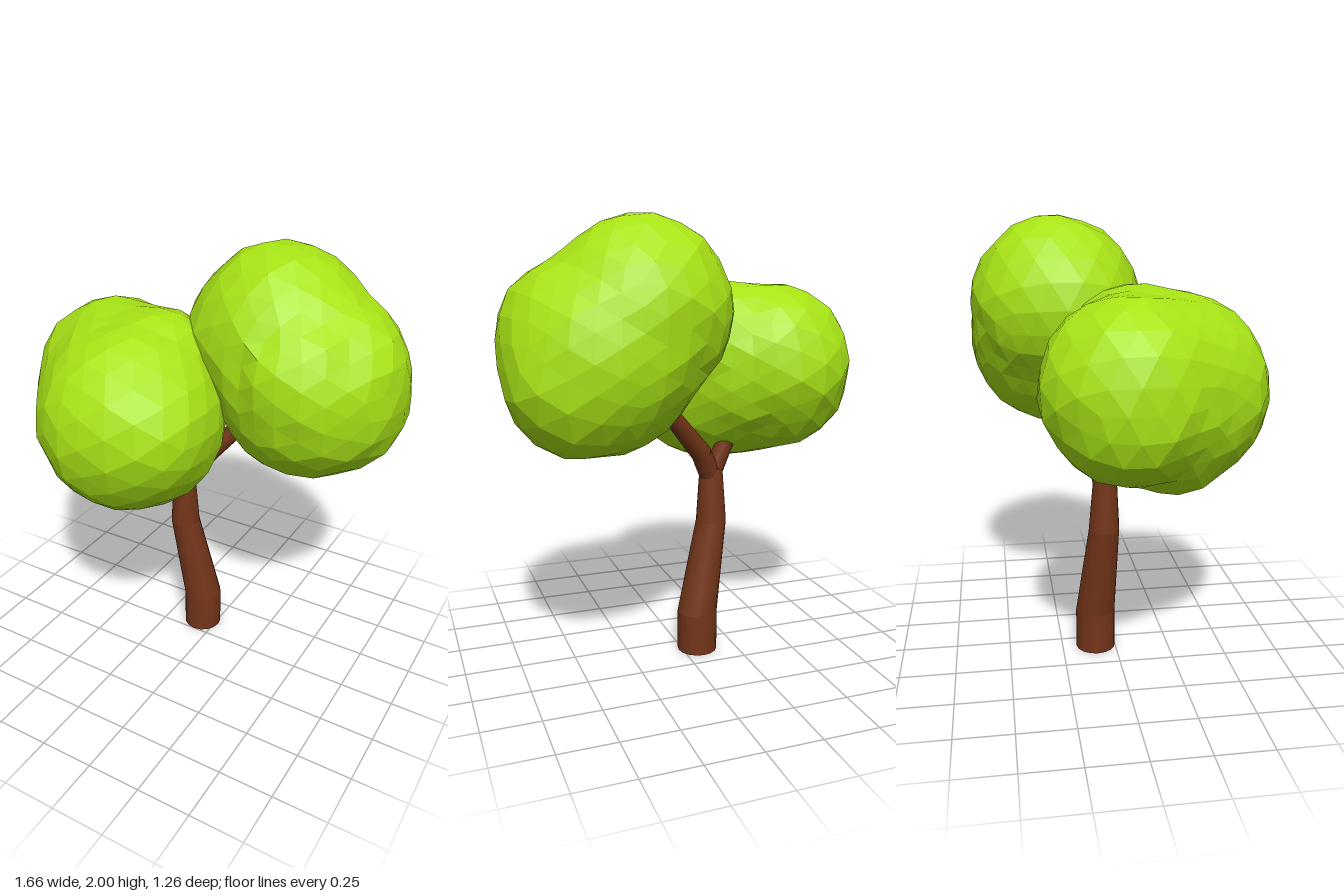
import * as THREE from 'three';
import { mergeVertices, toCreasedNormals } from 'three/addons/utils/BufferGeometryUtils.js';

const V = (p) => new THREE.Vector3(p[0], p[1], p[2]);

function seeded(seed) {
  return () => {
    seed = (seed * 16807) % 2147483647;
    return seed / 2147483647;
  };
}

// Each stop is [x, y, z, radius]; level rings shear between stops, tilted ones follow the limb.
function limb(name, stops, material, level) {
  const group = new THREE.Group();
  group.name = name;
  for (let i = 0; i < stops.length - 1; i++) {
    const a = V(stops[i]), b = V(stops[i + 1]);
    const span = b.clone().sub(a);
    const height = level ? span.y : span.length();
    let geo = new THREE.CylinderGeometry(stops[i + 1][3], stops[i][3], height, 16);
    geo.translate(0, height / 2, 0);
    if (level) {
      const shear = new THREE.Matrix4().set(
        1, span.x / height, 0, 0,
        0, 1, 0, 0,
        0, span.z / height, 1, 0,
        0, 0, 0, 1);
      geo.applyMatrix4(shear);
    } else {
      geo.applyQuaternion(new THREE.Quaternion().setFromUnitVectors(
        new THREE.Vector3(0, 1, 0), span.clone().normalize()));
    }
    geo.translate(a.x, a.y, a.z);
    geo = toCreasedNormals(geo, 0.6);
    const mesh = new THREE.Mesh(geo, material);
    mesh.name = name + 'Section';
    group.add(mesh);
  }
  return group;
}

// Spheres [x, y, z, radius]: every side lobe is blended along a line into the main one.
function bridged([main, ...sides]) {
  const all = [];
  for (const side of sides) {
    for (let k = 0; k <= 8; k++) all.push(main.map((v, n) => THREE.MathUtils.lerp(v, side[n], k / 8)));
  }
  return all;
}

// A faceted ball pushed out to the farthest surface of its bridged lobes.
function canopy(name, centre, lobes, material, seed) {
  let geo = new THREE.IcosahedronGeometry(1, 4);
  geo.deleteAttribute('normal');
  geo.deleteAttribute('uv');
  geo = mergeVertices(geo, 1e-4);
  const random = seeded(seed);
  const origin = V(centre);
  const spheres = bridged(lobes);
  const pos = geo.attributes.position;
  const dir = new THREE.Vector3();
  for (let i = 0; i < pos.count; i++) {
    dir.fromBufferAttribute(pos, i).normalize();
    let reach = 0;
    for (const sphere of spheres) {
      const toSphere = V(sphere).sub(origin);
      const along = toSphere.dot(dir);
      const inside = along * along - toSphere.lengthSq() + sphere[3] * sphere[3];
      if (inside > 0) reach = Math.max(reach, along + Math.sqrt(inside));
    }
    reach += (random() - 0.5) * 0.014;
    dir.multiplyScalar(reach).add(origin);
    pos.setXYZ(i, dir.x, dir.y, dir.z);
  }
  geo = geo.toNonIndexed();
  geo.computeVertexNormals();
  const mesh = new THREE.Mesh(geo, material);
  mesh.name = name;
  return mesh;
}

export function createModel() {
  const tree = new THREE.Group();
  tree.name = 'tree';
  const bark = new THREE.MeshStandardMaterial({ color: 0x733519 });
  const leaf = new THREE.MeshStandardMaterial({ color: 0xa8e316, flatShading: true });

  // Trunk and its two branches
  tree.add(limb('trunk', [
    [-0.073, 0, -0.092, 0.092],
    [-0.073, 0.19, -0.092, 0.092],
    [-0.152, 0.62, -0.06, 0.07],
    [-0.152, 0.87, -0.055, 0.053],
  ], bark, true));
  tree.add(limb('longBranch', [
    [-0.15, 0.83, -0.055, 0.05],
    [-0.09, 0.95, -0.09, 0.048],
    [0.13, 1.2, -0.2, 0.036],
  ], bark, false));
  tree.add(limb('shortBranch', [
    [-0.15, 0.83, -0.055, 0.046],
    [-0.215, 0.98, -0.06, 0.04],
    [-0.27, 1.1, -0.07, 0.035],
  ], bark, false));

  // Leaf masses
  tree.add(canopy('lowerCanopy', [-0.34, 1.3, 0.12], [
    [-0.25, 1.28, 0.22, 0.415],
    [-0.47, 1.34, 0.0, 0.365],
    [-0.5, 1.28, 0.0, 0.335],
    [-0.52, 1.32, -0.1, 0.27],
    [-0.22, 1.43, 0.06, 0.3],
    [-0.38, 1.13, 0.2, 0.265],
    [-0.17, 1.3, 0.3, 0.33],
  ], leaf, 11));
  tree.add(canopy('upperCanopy', [0.34, 1.5, -0.21], [
    [0.41, 1.43, -0.21, 0.42],
    [0.24, 1.61, -0.23, 0.39],
    [0.17, 1.6, -0.2, 0.335],
    [0.5, 1.51, -0.2, 0.325],
    [0.42, 1.5, -0.08, 0.31],
    [0.49, 1.355, -0.27, 0.338],
  ], leaf, 29));
  return tree;
}
